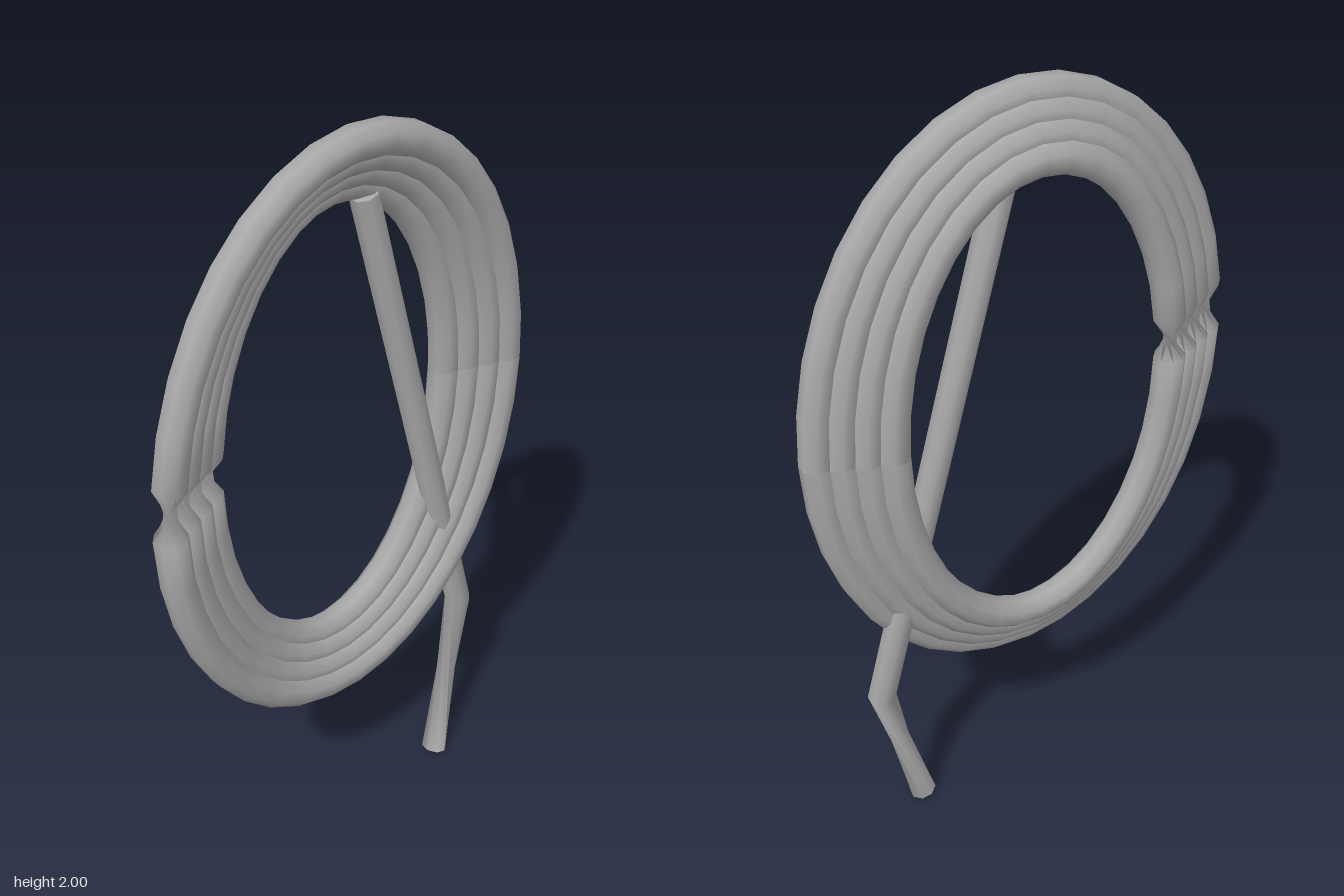
import * as THREE from 'three';

const SIDES = 8;

// Skin a tube through sections {c: centre, u, v: axes, r: radius, twist}
function loft(sections, capped = false) {
  const pos = [], idx = [];
  const corner = (s, j) => {
    const a = ((j + 0.5) / SIDES) * Math.PI * 2 + (s.twist || 0);
    return s.c.clone()
      .addScaledVector(s.u, Math.cos(a) * s.r)
      .addScaledVector(s.v, Math.sin(a) * s.r);
  };
  for (const s of sections)
    for (let j = 0; j < SIDES; j++) pos.push(...corner(s, j).toArray());
  for (let i = 0; i < sections.length - 1; i++) {
    for (let j = 0; j < SIDES; j++) {
      const k = (j + 1) % SIDES;
      const a = i * SIDES + j, b = i * SIDES + k;
      const c = a + SIDES, d = b + SIDES;
      idx.push(a, c, b, b, c, d);
    }
  }
  if (capped) {
    // separate rim vertices keep the end edges sharp
    [0, sections.length - 1].forEach((n, end) => {
      const base = pos.length / 3;
      for (let j = 0; j < SIDES; j++) pos.push(...corner(sections[n], j).toArray());
      for (let j = 1; j < SIDES - 1; j++) {
        if (end) idx.push(base, base + j + 1, base + j);
        else idx.push(base, base + j, base + j + 1);
      }
    });
  }
  const g = new THREE.BufferGeometry();
  g.setAttribute('position', new THREE.Float32BufferAttribute(pos, 3));
  g.setIndex(idx);
  g.computeVertexNormals();
  return g;
}

// Oval coil whose cross-section flips half a turn just before its left end
function coilGeometry(rx, ry, z) {
  const SEGMENTS = 36, sections = [];
  for (let i = 0; i <= SEGMENTS; i++) {
    const t = (i / SEGMENTS) * Math.PI * 2;
    sections.push({
      c: new THREE.Vector3(rx * Math.cos(t), 1.2275 + ry * Math.sin(t), z),
      u: new THREE.Vector3(Math.cos(t) / rx, Math.sin(t) / ry, 0).normalize(),
      v: new THREE.Vector3(0, 0, 1),
      r: 0.0405,
      twist: i >= SEGMENTS / 2 ? Math.PI : 0,
    });
  }
  return loft(sections);
}

export function createModel() {
  const group = new THREE.Group();
  const grey = new THREE.MeshStandardMaterial({ color: 0xa8a8a8, side: THREE.DoubleSide });
  grey.name = 'grey';
  const add = (name, geometry) => {
    const mesh = new THREE.Mesh(geometry, grey);
    mesh.name = name;
    group.add(mesh);
  };

  // Four coils, each smaller and set further back
  for (let i = 0; i < 4; i++)
    add(`coil${i + 1}`, coilGeometry(0.537 - i * 0.0515, 0.735 - i * 0.039, 0.018 - i * 0.022));

  // Loose end: straight run across the opening, then a bent, twisted tail
  const z = new THREE.Vector3(0, 0, 1);
  const end = (x, y, depth, ux, uy, r, twist) => ({
    c: new THREE.Vector3(x, y, depth),
    u: new THREE.Vector3(ux, uy, 0).normalize(),
    v: z, r, twist,
  });
  add('looseEnd', loft([
    end(0.087, 1.805, -0.035, -0.97, -0.25, 0.035, 0),
    end(0.43, 0.475, 0.0, -1, 0, 0.036, 0),
    end(0.304, 0.0095, 0.052, -0.97, 0.26, 0.036, Math.PI * 0.7),
  ], true));

  return group;
}
